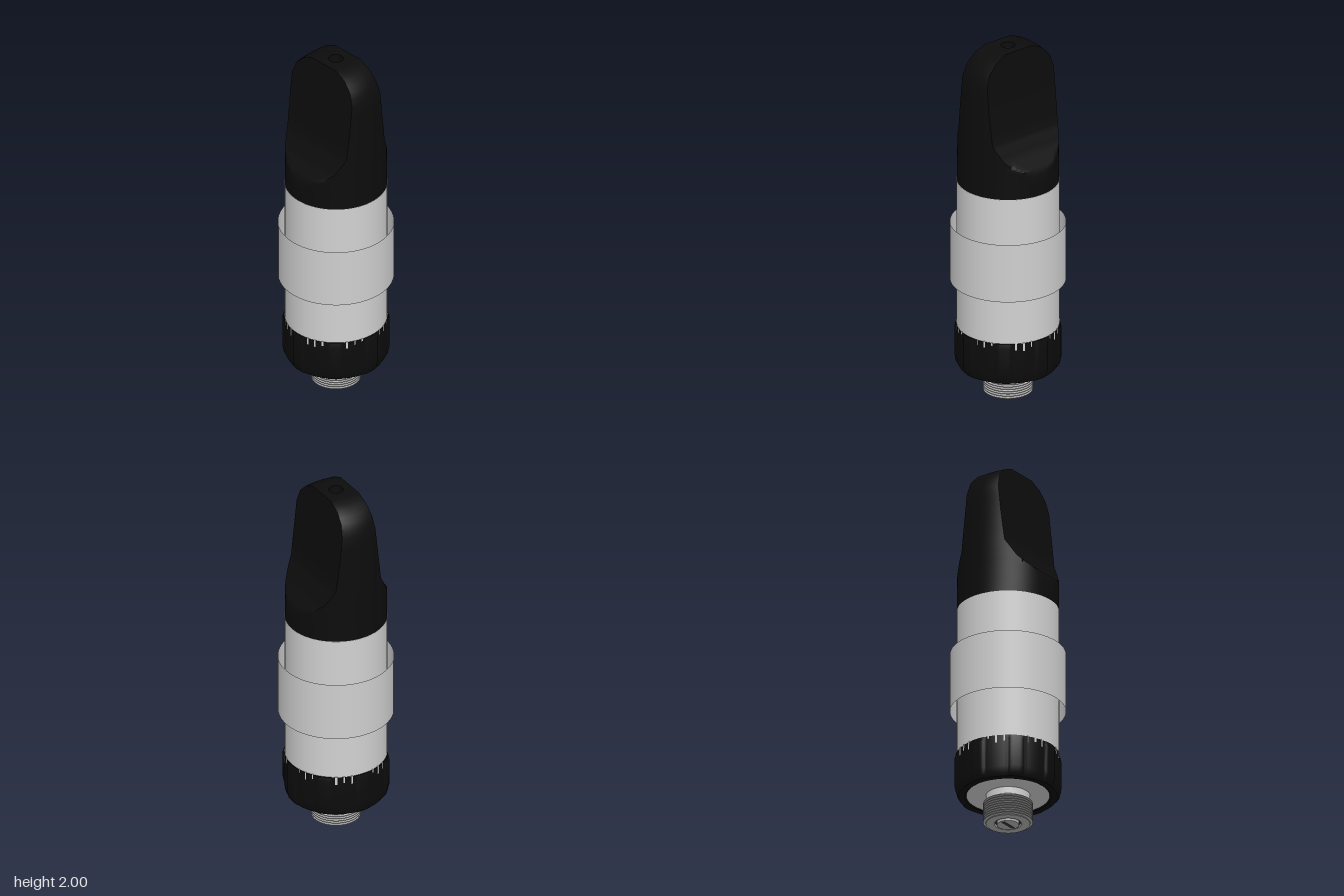
import * as THREE from 'three';
import { toCreasedNormals } from 'three/addons/utils/BufferGeometryUtils.js';

const YAW = -0.08;

// Joins closed cross-sections (arrays of [x, y, z]) into one skin.
function loft(rings) {
  const n = rings[0].length, index = [];
  for (let j = 0; j < rings.length - 1; j++) {
    for (let i = 0; i < n; i++) {
      const a = j * n + i, b = j * n + (i + 1) % n;
      index.push(a, a + n, b, b, a + n, b + n);
    }
  }
  const g = new THREE.BufferGeometry();
  g.setAttribute('position', new THREE.Float32BufferAttribute(rings.flat(2), 3));
  g.setIndex(index);
  return toCreasedNormals(g, 0.6);
}

// Linear lookup in a list of [y, value].
function sample(table, y) {
  if (y <= table[0][0]) return table[0][1];
  for (let i = 1; i < table.length; i++) {
    const [y0, v0] = table[i - 1], [y1, v1] = table[i];
    if (y <= y1) return v0 + (v1 - v0) * (y - y0) / (y1 - y0);
  }
  return table[table.length - 1][1];
}

function lathe(points, segments = 64) {
  const g = new THREE.LatheGeometry(points.map(p => new THREE.Vector2(...p)), segments);
  return toCreasedNormals(g, 0.5);
}

// Mouthpiece: round at the foot, pinched to a flat blade at the top.
function mouthpieceGeometry() {
  const width = [[1.22, 0.268], [1.5, 0.262], [1.65, 0.256], [1.85, 0.246],
    [1.92, 0.218], [1.97, 0.165], [2, 0.095]];
  const depth = [[1.22, 0.268], [1.35, 0.266], [1.38, 0.25], [1.4, 0.228], [1.44, 0.19],
    [1.49, 0.162], [1.53, 0.138], [1.7, 0.117], [2, 0.085]];
  const R = 0.268, n = 18;
  const angles = phi => {
    const list = [];
    for (const [from, to] of [[-phi, phi], [phi, Math.PI - phi],
      [Math.PI - phi, Math.PI + phi], [Math.PI + phi, 2 * Math.PI - phi]]) {
      for (let i = 0; i < n; i++) list.push(from + (to - from) * i / n);
    }
    return list;
  };
  const heights = [1.22, 1.3, 1.35, 1.365, 1.38, 1.39, 1.4, 1.42, 1.44, 1.465, 1.49, 1.51, 1.53,
    1.6, 1.7, 1.78, 1.85, 1.885, 1.92, 1.945, 1.97, 1.985, 2];
  const rings = heights.map(y => {
    const hx = sample(width, y), hz = sample(depth, y);
    return angles(Math.min(0.9, Math.asin(Math.min(1, hz / R)))).map(t => [
      hx * Math.cos(t), y, THREE.MathUtils.clamp(R * Math.sin(t), -hz, hz)]);
  });
  // Air hole sunk into the tip
  for (const [r, y] of [[0.038, 2], [0.036, 1.75], [0, 1.75]]) {
    rings.push(angles(Math.PI / 4).map(t => [r * Math.cos(t), y, r * Math.sin(t)]));
  }
  return loft(rings);
}

// Base collar with eight shallow grip ribs.
function collarGeometry() {
  const n = 192;
  const ring = (r, y, rib) => Array.from({ length: n }, (_, i) => {
    const t = i / n * Math.PI * 2, step = Math.PI / 4;
    const off = Math.abs(t - Math.round(t / step) * step);
    const rr = r + rib * THREE.MathUtils.clamp((0.16 - off) / 0.04, 0, 1);
    return [rr * Math.cos(t), y, rr * Math.sin(t)];
  });
  return loft([ring(0.215, 0.172, 0), ring(0.225, 0.165, 0), ring(0.258, 0.165, 0.004),
    ring(0.267, 0.18, 0.006), ring(0.272, 0.22, 0.009), ring(0.272, 0.37, 0.009),
    ring(0.271, 0.397, 0.003), ring(0.262, 0.4, 0)]);
}

// Threaded connector: neck, thread ridges and a hollow lower end.
function threadGeometry() {
  const points = [[0.066, 0.03], [0.072, 0.008], [0.115, 0.008]];
  const turns = 9, pitch = 0.118 / turns;
  for (let i = 0; i < turns; i++) {
    const y = 0.012 + i * pitch;
    points.push([0.117, y], [0.13, y + pitch * 0.35], [0.13, y + pitch * 0.6]);
  }
  points.push([0.116, 0.132]);
  return lathe(points);
}

export function createModel() {
  const model = new THREE.Group();
  const material = (name, color, side = THREE.FrontSide) => {
    const m = new THREE.MeshStandardMaterial({ color, side });
    m.name = name;
    return m;
  };
  const black = material('black plastic', 0x0c0c0c);
  const pale = material('pale tube', 0xd2d2d2);
  const band = material('pale band', 0xcfcfcf, THREE.DoubleSide);
  const steel = material('steel', 0xb4b4b4);
  const dark = material('dark gasket', 0x3a3a3a);

  const add = (name, geometry, mat, y = 0, parent = model) => {
    const mesh = new THREE.Mesh(geometry, mat);
    mesh.name = name;
    mesh.position.y = y;
    parent.add(mesh);
    return mesh;
  };

  add('mouthpiece', mouthpieceGeometry(), black).rotation.y = YAW;
  add('tank', new THREE.CylinderGeometry(0.269, 0.269, 0.86, 64), pale, 0.8);

  // Loose open sleeve around the tank
  add('sleeve', new THREE.CylinderGeometry(0.304, 0.304, 0.33, 64, 1, true), band, 0.82);

  add('baseCollar', collarGeometry(), black).rotation.y = YAW;

  // Ragged pale notches along the collar's upper edge
  const notches = new THREE.Group();
  notches.name = 'collarNotches';
  model.add(notches);
  let seed = 7;
  const random = () => (seed = (seed * 16807) % 2147483647) / 2147483647;
  for (let i = 0; i < 8; i++) {
    for (let k = 0; k < 3; k++) {
      const t = (i + 0.3 + 0.2 * k) * Math.PI / 4 - YAW, h = 0.015 + 0.035 * random();
      const notch = add('notch', new THREE.BoxGeometry(0.004 + 0.008 * random(), h, 0.004),
        pale, 0.401 - h / 2, notches);
      notch.position.x = 0.271 * Math.cos(t);
      notch.position.z = 0.271 * Math.sin(t);
      notch.rotation.y = Math.PI / 2 - t;
    }
  }

  // Underside plate and neck
  add('basePlate', new THREE.CylinderGeometry(0.222, 0.222, 0.02, 64), pale, 0.18);
  add('neck', new THREE.CylinderGeometry(0.116, 0.116, 0.045, 48), pale, 0.151);
  add('thread', threadGeometry(), steel);

  // Contact pin with its slot
  add('gasket', new THREE.CylinderGeometry(0.072, 0.072, 0.02, 48), dark, 0.03);
  add('contactPin', new THREE.CylinderGeometry(0.058, 0.058, 0.03, 48), steel, 0.017);
  const slot = add('contactSlot', new THREE.BoxGeometry(0.09, 0.004, 0.018), dark, 0.002);
  slot.rotation.y = YAW;
  return model;
}
